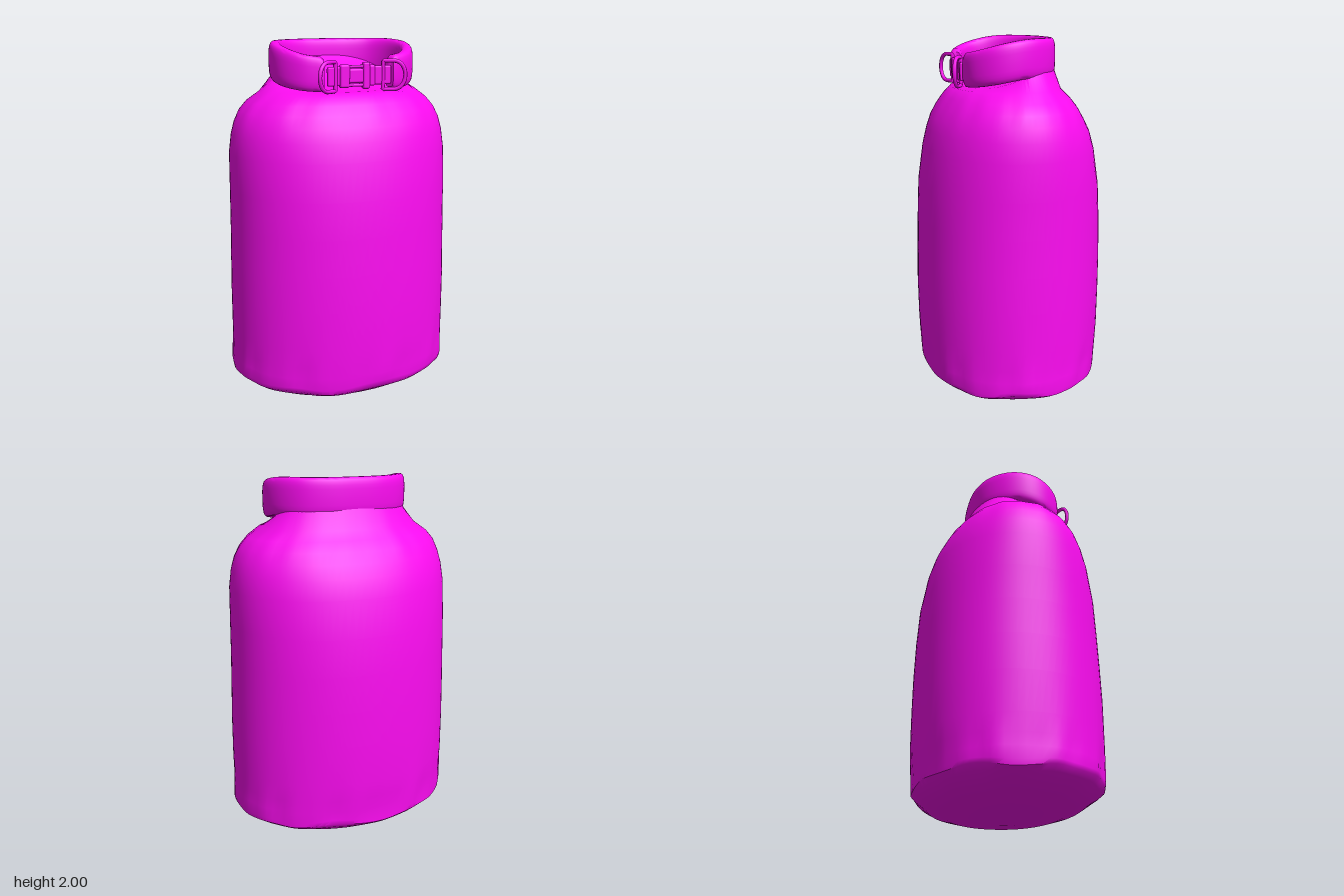
import * as THREE from 'three';
import { toCreasedNormals } from 'three/addons/utils/BufferGeometryUtils.js';
import { RoundedBoxGeometry } from 'three/addons/geometries/RoundedBoxGeometry.js';

const material = new THREE.MeshStandardMaterial({ color: 0xfb0cf0, side: THREE.DoubleSide });

function mesh(name, geometry, parent) {
  const m = new THREE.Mesh(geometry, material);
  m.name = name;
  parent.add(m);
  return m;
}

// Skin a list of closed rings, each with the same number of points
function loft(rings, crease) {
  const n = rings[0].length;
  const index = [];
  for (let i = 0; i < rings.length - 1; i++) {
    for (let j = 0; j < n; j++) {
      const a = i * n + j, b = i * n + (j + 1) % n;
      index.push(a, a + n, b, b, a + n, b + n);
    }
  }
  const g = new THREE.BufferGeometry().setFromPoints(rings.flat());
  g.setIndex(index);
  g.computeVertexNormals();
  return toCreasedNormals(g, crease);
}

const power = (v, e) => Math.sign(v) * Math.abs(v) ** e;
const bump = (y, centre, width) => Math.exp(-(((y - centre) / width) ** 2));

// Height of the closed mouth, low at the front and rising to the back
const mouthY = (z) => 1.74 + 0.9 * Math.max(0, 0.25 - z) ** 2;

function bagGeometry() {
  // height, half width, front depth, back depth
  const profile = [
    [0, 0.001, 0.001, 0.001], [0.008, 0.2, 0.16, 0.16], [0.03, 0.42, 0.33, 0.33],
    [0.06, 0.53, 0.42, 0.42], [0.1, 0.61, 0.485, 0.48], [0.125, 0.645, 0.51, 0.505],
    [0.15, 0.65, 0.515, 0.505], [0.21, 0.645, 0.518, 0.508], [0.28, 0.643, 0.522, 0.515],
    [0.38, 0.642, 0.525, 0.522], [0.6, 0.64, 0.527, 0.525], [0.8, 0.635, 0.522, 0.525],
    [1.0, 0.63, 0.515, 0.52], [1.2, 0.628, 0.505, 0.508], [1.4, 0.627, 0.475, 0.475],
    [1.5, 0.615, 0.45, 0.445], [1.57, 0.597, 0.425, 0.41], [1.63, 0.568, 0.39, 0.375],
    [1.68, 0.525, 0.355, 0.335], [1.73, 0.455, 0.31, 0.285],
    // neck and mouth follow the slanted opening
    [null, 0.37, 0.265, 0.215], [null, 0.28, 0.2, 0.17], [null, 0.15, 0.1, 0.09],
    [null, 0.001, 0.001, 0.001],
  ];
  const n = 96;
  const rings = profile.map(([y, w, front, back]) => {
    const ring = [];
    for (let j = 0; j < n; j++) {
      const t = (j / n) * Math.PI * 2;
      const c = Math.cos(t), s = Math.sin(t);
      let x = w * power(c, 0.95);
      let z = (s > 0 ? front : back) * power(s, 0.95);
      let py = y;
      if (y === null) {
        py = mouthY(z);
      } else {
        // gathered cloth above the base seam and under the collar
        const fold = Math.sin(13 * t + 1) + Math.sin(22 * t) * 0.7 + Math.sin(7 * t + 2) * 0.6;
        const k = 1 + fold * (0.006 * bump(y, 0.2, 0.09) + 0.005 * bump(y, 1.66, 0.07));
        x *= k;
        z *= k;
        py += 0.007 * bump(y, 0.13, 0.04) * (Math.sin(9 * t) + Math.sin(5 * t + 1));
      }
      ring.push(new THREE.Vector3(x, py, z));
    }
    return ring;
  });
  return loft(rings, 0.75);
}

function collarGeometry() {
  const half = [[0.19, 0.255], [0.29, 0.215], [0.355, 0.14], [0.375, 0.05],
    [0.345, -0.06], [0.27, -0.15], [0.15, -0.202]];
  const path = [...half, [0, -0.215], ...half.slice().reverse().map(([x, z]) => [-x, z])];
  const curve = new THREE.CatmullRomCurve3(path.map(([x, z]) => new THREE.Vector3(x, 0, z)));
  const steps = 80, n = 28;
  // path position and section scale; repeated ends close and round the roll
  const stations = [[0, 0.001], [0, 0.85]];
  for (let i = 1; i < steps; i++) stations.push([i / steps, 1]);
  stations.push([1, 0.85], [1, 0.001]);
  const rings = stations.map(([u, scale]) => {
    const p = curve.getPointAt(u), t = curve.getTangentAt(u);
    const top = 2 - 0.6 * Math.max(0, p.z + 0.1) ** 2;
    const bottom = 1.795 - 0.2 * Math.max(0, p.z);
    const ring = [];
    for (let j = 0; j < n; j++) {
      const a = (j / n) * Math.PI * 2;
      const out = 0.036 * scale * power(Math.cos(a), 0.6);
      const up = (top - bottom) / 2 * scale * power(Math.sin(a), 0.6);
      ring.push(new THREE.Vector3(p.x - t.z * out, (top + bottom) / 2 + up, p.z + t.x * out));
    }
    return ring;
  });
  return loft(rings, 0.9);
}

function createBuckle() {
  const buckle = new THREE.Group();
  buckle.name = 'buckle';
  buckle.position.set(0, 1.825, 0.275);

  // Clip parts: name, x, width, height, depth
  const parts = [
    ['socket', -0.085, 0.055, 0.12, 0.036], ['clipBody', -0.02, 0.09, 0.075, 0.026],
    ['clipBar', 0.04, 0.04, 0.14, 0.036], ['clipShoulder', 0.075, 0.035, 0.11, 0.026],
  ];
  for (const [name, x, w, h, d] of parts) {
    mesh(name, new RoundedBoxGeometry(w, h, d, 3, 0.011), buckle).position.x = x;
  }
  for (const y of [-0.048, 0.048]) {
    mesh('clipProng', new RoundedBoxGeometry(0.1, 0.016, 0.022, 2, 0.007), buckle).position.set(-0.015, y, 0);
  }

  // D-ring and webbing loop on each side, angled forward
  for (const side of [-1, 1]) {
    const arm = new THREE.Group();
    arm.name = side > 0 ? 'leftRing' : 'rightRing';
    arm.position.x = side * 0.125;
    const outline = new THREE.CurvePath();
    const v = (x, y) => new THREE.Vector3(side * x, y, 0);
    outline.add(new THREE.LineCurve3(v(0.015, -0.075), v(0.015, 0.075)));
    outline.add(new THREE.QuadraticBezierCurve3(v(0.015, 0.075), v(0.04, 0.075), v(0.07, 0.075)));
    outline.add(new THREE.CubicBezierCurve3(v(0.07, 0.075), v(0.155, 0.075), v(0.155, -0.075), v(0.07, -0.075)));
    outline.add(new THREE.LineCurve3(v(0.07, -0.075), v(0.015, -0.075)));
    const ring = mesh('dRing', new THREE.TubeGeometry(outline, 72, 0.011, 8, true), arm);
    ring.rotation.y = -side * 0.45;
    const web = mesh('webbing', new RoundedBoxGeometry(0.1, 0.1, 0.024, 3, 0.01), arm);
    web.position.x = side * 0.01;
    web.rotation.y = -side * 0.15;
    buckle.add(arm);
  }
  return buckle;
}

export function createModel() {
  const model = new THREE.Group();
  model.name = 'rollTopBag';
  mesh('bagBody', bagGeometry(), model);
  mesh('rolledCollar', collarGeometry(), model);
  model.add(createBuckle());
  return model;
}
